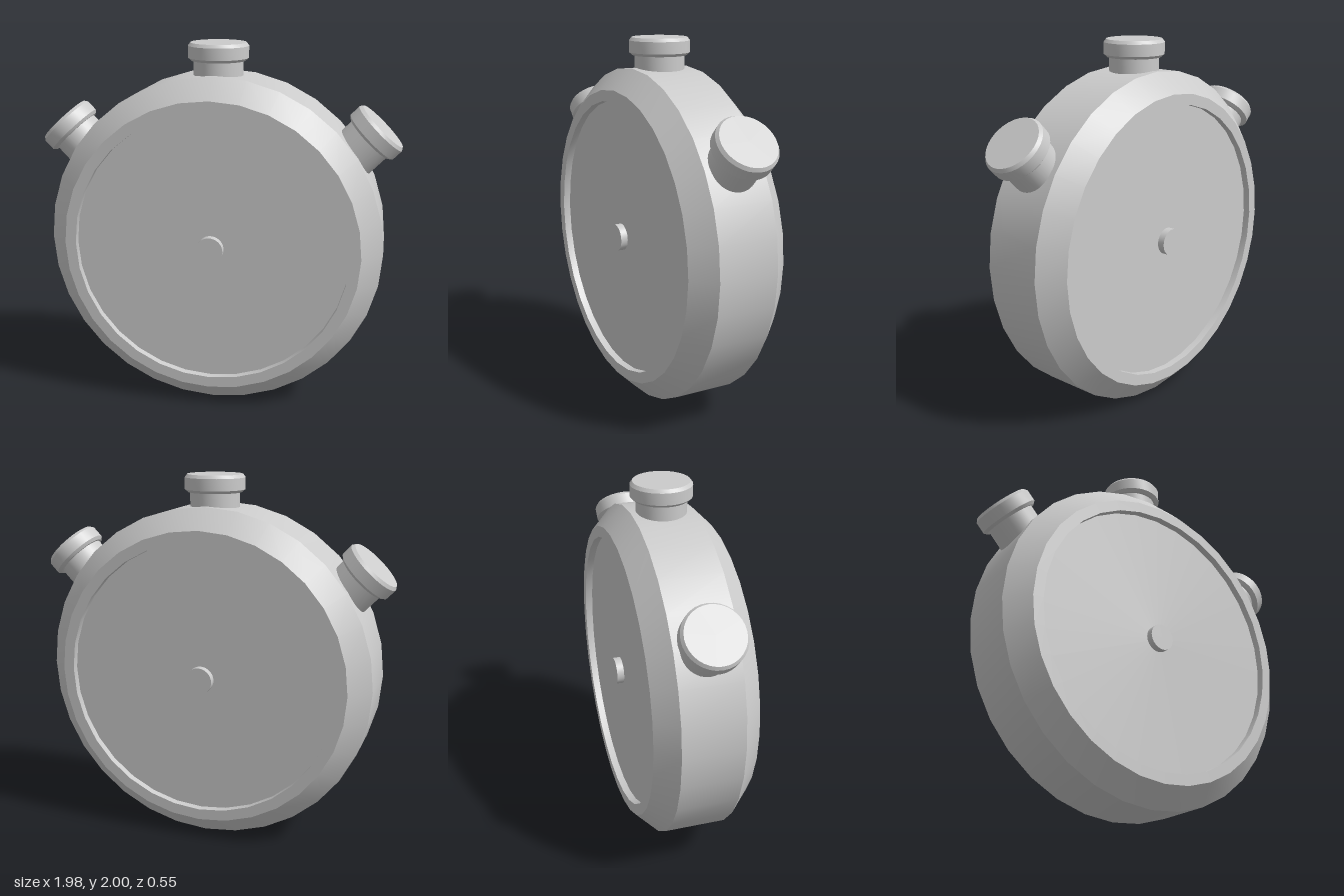
import * as THREE from 'three';
import { toCreasedNormals } from 'three/addons/utils/BufferGeometryUtils.js';

const material = new THREE.MeshStandardMaterial({ color: 0xcccccc });
const CENTER_Y = 0.92;

// Turned part with smooth sides and sharp profile edges
function turned(name, profile, segments = 32) {
  const points = profile.map(([r, y]) => new THREE.Vector2(r, y));
  const geometry = toCreasedNormals(new THREE.LatheGeometry(points, segments), 0.5);
  const mesh = new THREE.Mesh(geometry, material);
  mesh.name = name;
  return mesh;
}

// Push button: origin at the middle of the cap's top, axis along +y
function button(name, x, y, tilt) {
  const group = new THREE.Group();
  group.name = name;
  group.add(
    turned('buttonStem', [[0, -0.34], [0.134, -0.34], [0.134, -0.08], [0, -0.08]]),
    turned('buttonCap', [
      [0, -0.095], [0.146, -0.095], [0.163, -0.08],
      [0.163, -0.017], [0.15, 0], [0, 0],
    ]),
  );
  group.position.set(x, y, 0);
  group.rotation.z = tilt;
  return group;
}

export function createModel() {
  const model = new THREE.Group();
  model.name = 'stopwatch';

  // Case: bevelled drum with a shallow recessed dial on both faces
  const half = [[0.92, 0.165], [0.81, 0.275], [0.75, 0.275], [0.75, 0.235], [0, 0.235]];
  const mirrored = half.map(([r, y]) => [r, -y]).reverse();
  const body = turned('case', [...mirrored, ...half]);
  body.rotation.x = Math.PI / 2;
  body.position.y = CENTER_Y;
  model.add(body);

  // Centre pin on each dial
  for (const side of [1, -1]) {
    const pin = turned('centrePin', [[0, -0.02], [0.073, -0.02], [0.073, 0.02], [0, 0.02]]);
    pin.rotation.x = Math.PI / 2;
    pin.position.set(0, CENTER_Y, side * 0.254);
    model.add(pin);
  }

  // Crown and the two side buttons
  model.add(
    button('crown', 0, 2, 0),
    button('leftButton', 0.882, 1.58, -THREE.MathUtils.degToRad(44)),
    button('rightButton', -0.88, 1.557, THREE.MathUtils.degToRad(43.5)),
  );
  return model;
}
